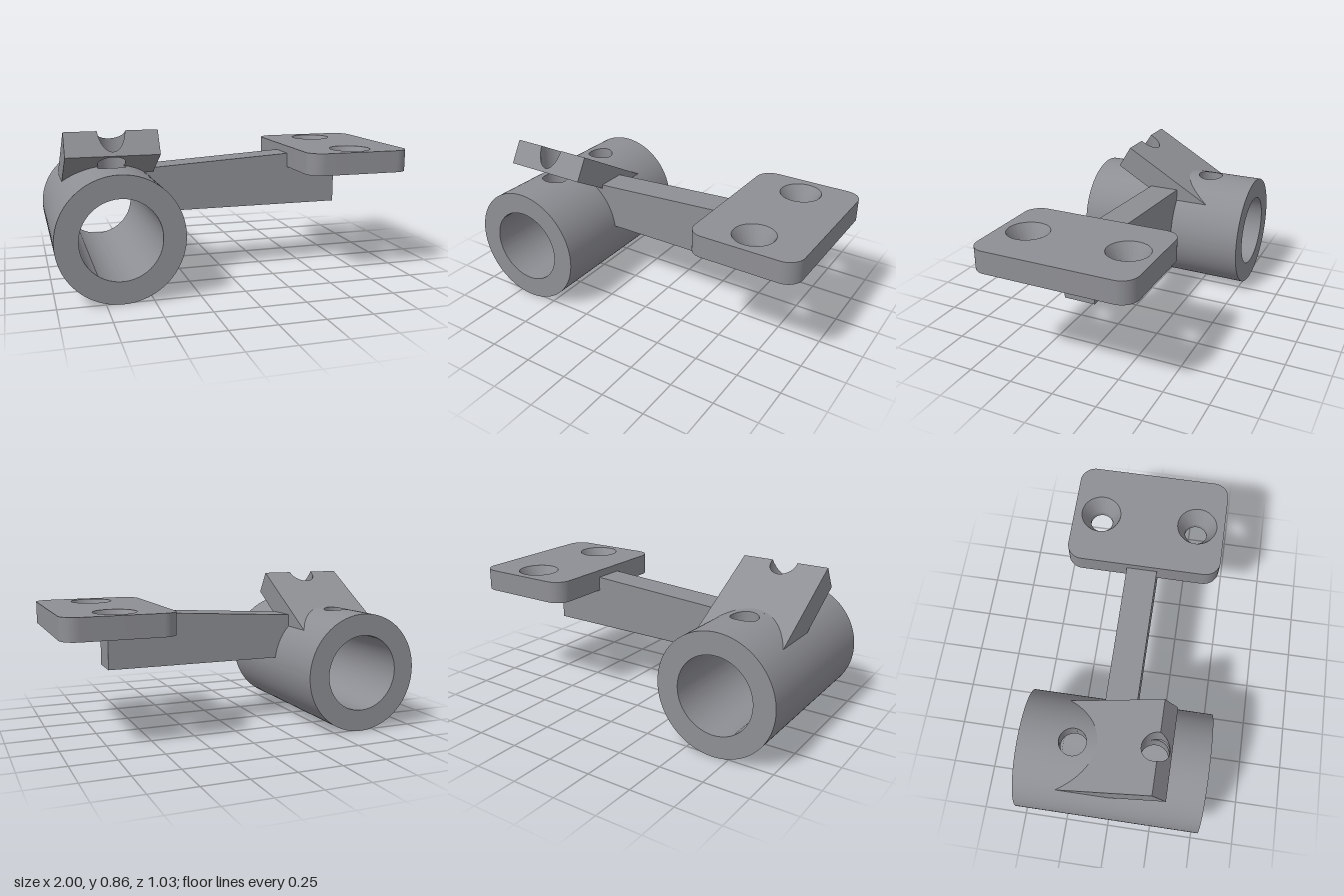
import * as THREE from 'three';
import { toCreasedNormals } from 'three/addons/utils/BufferGeometryUtils.js';
import { ParametricGeometry } from 'three/addons/geometries/ParametricGeometry.js';

const CX = -0.665, CY = 0.34, R = 0.337, BORE = 0.215, HALF = 0.517;
const HOLE_R = 0.075, HOLE_Z = 0.222, BLOCK = 0.1;

export function createModel() {
  const model = new THREE.Group();
  model.name = 'bracket';
  const grey = new THREE.MeshStandardMaterial({ color: 0x8e8f94, side: THREE.DoubleSide });
  grey.name = 'grey plastic';

  const add = (parent, name, geometry, x = 0, y = 0, z = 0) => {
    const mesh = new THREE.Mesh(geometry, grey);
    mesh.name = name;
    mesh.position.set(x, y, z);
    parent.add(mesh);
    return mesh;
  };
  const group = (name, x = 0, y = 0, z = 0) => {
    const g = new THREE.Group();
    g.name = name;
    g.position.set(x, y, z);
    model.add(g);
    return g;
  };
  const extrude = (shape, depth) => toCreasedNormals(
    new THREE.ExtrudeGeometry(shape, { depth, bevelEnabled: false, curveSegments: 64 }), 0.5);
  const circle = (x, y, r) => new THREE.Path().absarc(x, y, r, 0, Math.PI * 2, true);

  // Tube: a C-shaped wall, closed by a narrow top strip that carries two holes
  const tube = group('tube', CX, CY, 0);
  const a = Math.acos(BLOCK / R), b = Math.acos(BLOCK / BORE);
  const wall = new THREE.Shape()
    .absarc(0, 0, R, a, Math.PI - a, true)
    .absarc(0, 0, BORE, Math.PI - b, b, false);
  add(tube, 'tubeWall', extrude(wall, HALF * 2), 0, 0, -HALF);

  const strip = new THREE.Shape()
    .absarc(0, 0, R, a, Math.PI - a, false)
    .absarc(0, 0, BORE, Math.PI - b, b, true);
  const near = HOLE_Z - BLOCK, far = HOLE_Z + BLOCK;
  for (const [z0, z1] of [[-HALF, -far], [-near, near], [far, HALF]]) {
    add(tube, 'tubeTopStrip', extrude(strip, z1 - z0), 0, 0, z0);
  }

  // Curved square patches round each hole, plus the hole wall
  const square = t => BLOCK / Math.max(Math.abs(Math.cos(t)), Math.abs(Math.sin(t)));
  const round = () => HOLE_R;
  const patch = (r0, rad0, r1, rad1) => new ParametricGeometry((u, v, p) => {
    const t = u * Math.PI * 2;
    const d = THREE.MathUtils.lerp(r0(t), r1(t), v);
    const x = d * Math.cos(t);
    const y0 = Math.sqrt(rad0 * rad0 - x * x), y1 = Math.sqrt(rad1 * rad1 - x * x);
    p.set(x, THREE.MathUtils.lerp(y0, y1, v), d * Math.sin(t));
  }, 64, 4);
  for (const z of [-HOLE_Z, HOLE_Z]) {
    add(tube, 'holeOuterSurface', patch(round, R, square, R), 0, 0, z);
    add(tube, 'holeInnerSurface', patch(square, BORE, round, BORE), 0, 0, z);
    add(tube, 'holeWall', patch(round, BORE, round, R), 0, 0, z);
  }

  // Tilted tab: flat plan outlines lifted onto sloping planes
  const tab = group('tiltedTab', CX, 0, 0);
  const W = 0.25, RIDGE = 0.235, TIP = 0.31, TAIL = -0.283;
  const topY = z => 0.865 - 0.577 * (RIDGE - z);
  const endY = z => 0.865 - (z - RIDGE) * 1.667;
  const lowY = z => 0.74 - 0.577 * (TIP - z);
  const lift = (shape, height) => {
    const g = new THREE.ShapeGeometry(shape, 48);
    const p = g.attributes.position;
    for (let i = 0; i < p.count; i++) {
      const z = -p.getY(i);
      p.setXYZ(i, p.getX(i), height(z), z);
    }
    g.computeVertexNormals();
    return g;
  };
  const k = Math.asin((RIDGE - HOLE_Z) / HOLE_R); // where the hole crosses the ridge

  const top = new THREE.Shape();
  top.moveTo(-W, -TAIL);
  top.lineTo(-W, -RIDGE);
  top.absarc(0, -HOLE_Z, HOLE_R, Math.PI + k, -k, true);
  top.lineTo(W, -RIDGE);
  top.lineTo(W, -TAIL);
  top.holes.push(circle(0, HOLE_Z, HOLE_R));
  add(tab, 'tabTop', lift(top, topY));

  const end = new THREE.Shape();
  end.moveTo(-W, -RIDGE);
  end.lineTo(-W, -TIP);
  end.lineTo(W, -TIP);
  end.lineTo(W, -RIDGE);
  end.absarc(0, -HOLE_Z, HOLE_R, -k, -Math.PI + k, true);
  add(tab, 'tabEnd', lift(end, endY));

  const under = new THREE.Shape();
  under.moveTo(-W, 0);
  under.lineTo(-W, -TIP);
  under.lineTo(W, -TIP);
  under.lineTo(W, 0);
  under.holes.push(circle(0, -HOLE_Z, HOLE_R));
  const underGeometry = lift(under, lowY);
  underGeometry.index.array.reverse();
  underGeometry.computeVertexNormals();
  add(tab, 'tabUnderside', underGeometry);

  const side = new THREE.Shape([[TIP, 0.74], [RIDGE, 0.865], [TAIL, topY(TAIL)], [0, lowY(0)]]
    .map(([z, y]) => new THREE.Vector2(-z, y)));
  for (const s of [-1, 1]) {
    const g = new THREE.ShapeGeometry(side);
    if (s < 0) {
      g.index.array.reverse();
      g.computeVertexNormals();
    }
    add(tab, 'tabSide', g, s * W).rotation.y = Math.PI / 2;
  }

  // Upright hole through the tab, trimmed to its slopes
  add(tab, 'tabHoleWall', new ParametricGeometry((u, v, p) => {
    const t = u * Math.PI * 2, z = HOLE_Z + HOLE_R * Math.sin(t);
    const y = THREE.MathUtils.lerp(lowY(z), Math.min(topY(z), endY(z)), v);
    p.set(HOLE_R * Math.cos(t), y, z);
  }, 64, 1));

  // Arm: starts inside the tube wall and follows it, leaving the bore clear
  const arm = new THREE.Shape();
  arm.moveTo(CX, 0.7);
  arm.absarc(CX, CY, 0.28, Math.PI / 2, Math.asin(0.04 / 0.28), true);
  arm.lineTo(0.69, 0.38);
  arm.lineTo(0.69, 0.7);
  add(model, 'arm', extrude(arm, 0.176), 0, 0, -0.088);

  // Mounting plate with rounded corners and two countersunk screw holes
  const plate = group('mountingPlate', 0.695, 0.602, 0);
  const PX = 0.305, PZ = 0.445, C = 0.09, T = 0.123, SINK = 0.115;
  const outline = new THREE.Shape()
    .absarc(PX - C, PZ - C, C, 0, Math.PI / 2)
    .absarc(C - PX, PZ - C, C, Math.PI / 2, Math.PI)
    .absarc(C - PX, C - PZ, C, Math.PI, Math.PI * 1.5)
    .absarc(PX - C, C - PZ, C, Math.PI * 1.5, Math.PI * 2);
  const screwZ = [-0.285, 0.285];
  for (const z of screwZ) outline.holes.push(circle(0, z, SINK));
  add(plate, 'plateBody', extrude(outline, T)).rotation.x = -Math.PI / 2;

  const sink = [[SINK, 0], [0.065, 0], [0.065, 0.03], [SINK, T]]
    .map(([r, y]) => new THREE.Vector2(r, y)).reverse();
  for (const z of screwZ) {
    add(plate, 'countersink', toCreasedNormals(new THREE.LatheGeometry(sink, 64), 0.5), 0, 0, z);
  }
  return model;
}
